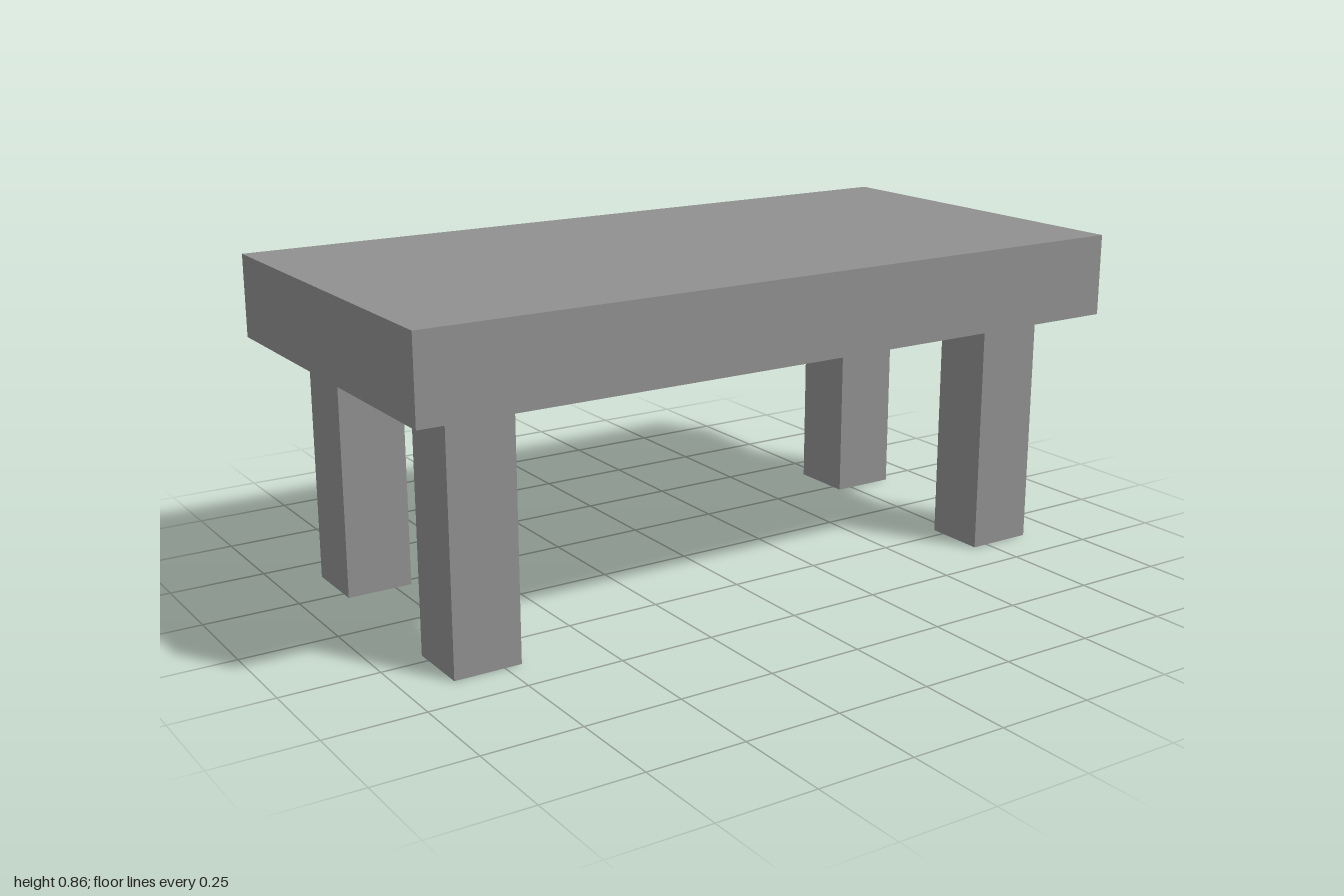
import * as THREE from 'three';

const LEG_HEIGHT = 0.643;
const TABLE_HEIGHT = 0.858;

export function createModel() {
  const table = new THREE.Group();
  table.name = 'table';

  const grey = new THREE.MeshStandardMaterial({ color: 0x909090 });
  grey.name = 'grey';

  // A box given by its lower and upper bounds on each axis
  function addBlock(name, [x0, x1], [y0, y1], [z0, z1]) {
    const mesh = new THREE.Mesh(new THREE.BoxGeometry(x1 - x0, y1 - y0, z1 - z0), grey);
    mesh.name = name;
    mesh.position.set((x0 + x1) / 2, (y0 + y1) / 2, (z0 + z1) / 2);
    table.add(mesh);
  }

  // Thick slab top
  addBlock('tableTop', [-1, 1], [LEG_HEIGHT, TABLE_HEIGHT], [-0.5, 0.5]);

  // Four square legs, slightly uneven in section
  const legs = [
    ['frontLeftLeg', [0.706, 0.888], [0.215, 0.382]],
    ['frontRightLeg', [-0.88, -0.706], [0.215, 0.387]],
    ['backLeftLeg', [0.706, 0.886], [-0.397, -0.217]],
    ['backRightLeg', [-0.88, -0.706], [-0.395, -0.217]],
  ];
  for (const [name, x, z] of legs) addBlock(name, x, [0, LEG_HEIGHT], z);

  return table;
}
